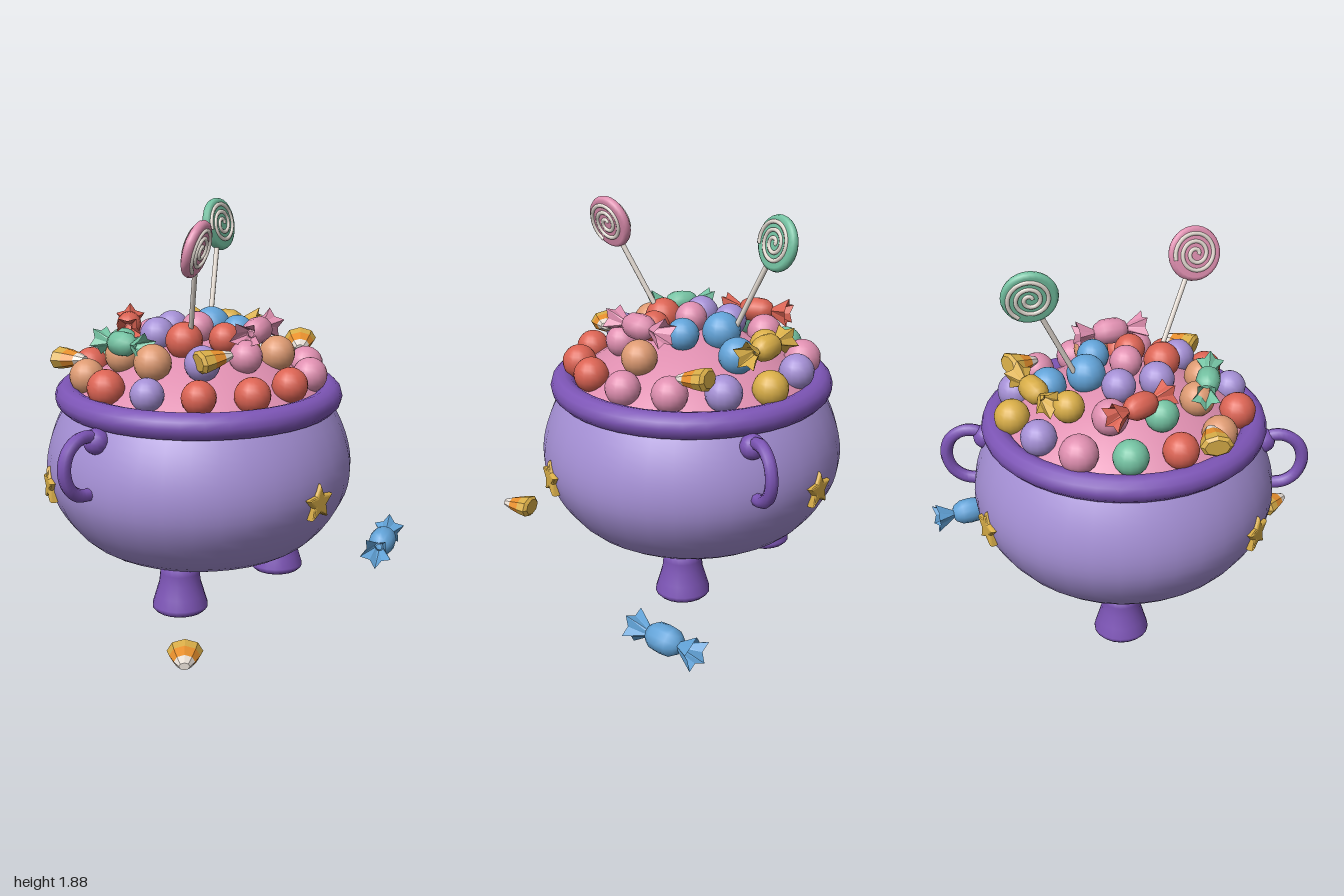
import * as THREE from 'three';

const mat = (name, color, side = THREE.FrontSide) => {
  const m = new THREE.MeshStandardMaterial({ color, side });
  m.name = name;
  return m;
};
const V = (x, y, z) => new THREE.Vector3(x, y, z);
const P = (list) => list.map(([x, y]) => new THREE.Vector2(x, y));

export function createModel() {
  const D = THREE.DoubleSide;
  const M = {
    lilac: mat('lilac', 0xa48fd4, D), purple: mat('purple', 0x7d55b6),
    pink: mat('pink', 0xdf8fb0, D), red: mat('red', 0xdb6353, D),
    tan: mat('tan', 0xdd9a72), blue: mat('blue', 0x62a3d8, D),
    green: mat('green', 0x74c2a2, D), gold: mat('gold', 0xd9ae48, D),
    white: mat('cream white', 0xeee5dc), orange: mat('orange', 0xe8902e),
  };
  const root = new THREE.Group();
  root.name = 'candyCauldron';

  const add = (parent, name, geo, material, x = 0, y = 0, z = 0) => {
    const m = new THREE.Mesh(geo, material);
    m.name = name;
    m.position.set(x, y, z);
    parent.add(m);
    return m;
  };
  const group = (parent, name) => {
    const g = new THREE.Group();
    g.name = name;
    parent.add(g);
    return g;
  };
  // Point local y along dir, with local z as near hint as possible
  const aim = (obj, pos, dir, hint) => {
    const y = dir.clone().normalize();
    const x = y.clone().cross(hint).normalize();
    obj.position.copy(pos);
    obj.quaternion.setFromRotationMatrix(new THREE.Matrix4().makeBasis(x, y, x.clone().cross(y)));
  };
  const faceted = (g) => {
    const f = g.toNonIndexed();
    f.computeVertexNormals();
    return f;
  };

  // Cauldron: everything around its own axis
  const pot = group(root, 'cauldron');
  pot.position.set(-0.067, 0, -0.01);
  const bodyCurve = new THREE.SplineCurve(P([[0, 0.17], [0.3, 0.175], [0.45, 0.2], [0.57, 0.26],
    [0.67, 0.37], [0.735, 0.49], [0.756, 0.6], [0.745, 0.71], [0.71, 0.82], [0.66, 0.92], [0.62, 0.98]]));
  add(pot, 'cauldronBody', new THREE.LatheGeometry(bodyCurve.getPoints(24), 36), M.lilac);
  const rim = new THREE.TorusGeometry(0.642, 0.065, 12, 40).rotateX(Math.PI / 2);
  add(pot, 'rim', rim, M.purple, 0, 0.97, 0);

  // Sweets bed filling the opening
  const bed = [];
  for (let i = 0; i <= 10; i++) {
    const r = 0.61 * (1 - i / 10);
    bed.push([r, 1.24 - 0.68 * r * r]);
  }
  add(pot, 'sweetsBed', new THREE.LatheGeometry(P(bed), 32), M.pink);

  // Three feet
  const footGeo = new THREE.LatheGeometry(P([[0, 0], [0.118, 0], [0.133, 0.015], [0.133, 0.03],
    [0.118, 0.08], [0.1, 0.14], [0.095, 0.19], [0.095, 0.24], [0, 0.26]]), 20);
  for (let i = 0; i < 3; i++) {
    const a = Math.PI / 3 + i * Math.PI * 2 / 3;
    add(pot, 'foot', footGeo, M.purple, Math.sin(a) * 0.42, 0, Math.cos(a) * 0.42);
  }

  // Side handles with a knob at the upper end
  const handleCurve = new THREE.CatmullRomCurve3([[0.69, 0.86], [0.73, 0.893], [0.8, 0.897], [0.87, 0.85],
    [0.896, 0.765], [0.87, 0.68], [0.81, 0.632], [0.72, 0.62]].map(([x, y]) => V(x, y, 0)));
  const handleGeo = new THREE.TubeGeometry(handleCurve, 24, 0.032, 8);
  for (const turn of [0, Math.PI]) {
    const h = group(pot, 'handle');
    h.rotation.y = turn;
    add(h, 'handleLoop', handleGeo, M.purple);
    add(h, 'handleKnob', new THREE.SphereGeometry(0.062, 14, 10), M.purple, 0.695, 0.865, 0);
  }

  // Three puffy stars around the belly
  const starShape = new THREE.Shape(P(Array.from({ length: 10 }, (_, i) => {
    const r = i % 2 ? 0.032 : 0.075, a = i * Math.PI / 5;
    return [Math.sin(a) * r, Math.cos(a) * r];
  })));
  const starGeo = new THREE.ExtrudeGeometry(starShape, {
    depth: 0.02, bevelEnabled: true, bevelSize: 0.014, bevelThickness: 0.014, bevelSegments: 3 });
  for (let i = 0; i < 3; i++) {
    const s = group(pot, 'star');
    s.rotation.y = i * Math.PI * 2 / 3;
    add(s, 'starBadge', starGeo, M.gold, 0, 0.565, 0.738);
  }

  // Round sweets: x, z, radius per colour, heaped over the bed
  const sweets = {
    red: [[-0.34, -0.49, 0.087], [-0.62, -0.09, 0.09], [-0.25, 0.065, 0.09], [-0.09, 0.18, 0.077],
      [-0.475, 0.365, 0.082], [-0.27, 0.51, 0.086], [-0.03, 0.535, 0.086]],
    green: [[-0.11, -0.56, 0.086], [-0.25, -0.35, 0.082]],
    pink: [[0.13, -0.53, 0.094], [-0.01, -0.385, 0.088], [-0.075, -0.01, 0.08], [0.21, 0.465, 0.086],
      [0.385, 0.3, 0.088], [-0.12, 0.34, 0.08]],
    lilac: [[0.325, -0.395, 0.088], [-0.045, -0.21, 0.083], [-0.225, -0.135, 0.086], [-0.595, 0.155, 0.08],
      [-0.33, 0.255, 0.085], [0.475, 0.065, 0.09]],
    tan: [[-0.525, -0.32, 0.086], [-0.42, -0.18, 0.086], [-0.45, 0.05, 0.09], [0.11, 0.34, 0.088]],
    blue: [[0.115, -0.09, 0.095], [0.3, -0.085, 0.09], [0.09, 0.105, 0.08]],
    gold: [[0.47, -0.18, 0.088], [0.19, -0.29, 0.078]],
  };
  const heap = group(root, 'roundSweets');
  for (const [color, list] of Object.entries(sweets)) {
    for (const [x, z, r] of list) {
      const d2 = (x + 0.067) ** 2 + (z + 0.01) ** 2;
      add(heap, 'sweet', new THREE.SphereGeometry(r, 16, 12), M[color], x, 1.295 - 0.7 * d2, z);
    }
  }

  // Wrapped candy: barrel body with a flared, crimped wrapper at each end
  const barrel = new THREE.LatheGeometry(P([[0.015, -0.1], [0.045, -0.085], [0.066, -0.05], [0.07, 0],
    [0.066, 0.05], [0.045, 0.085], [0.015, 0.1]]), 12);
  const flare = new THREE.CylinderGeometry(0.085, 0.018, 0.11, 10, 1, true).translate(0, 0.142, 0);
  const fp = flare.attributes.position;
  for (let i = 0; i <= 10; i += 1) {
    const k = i % 2 ? 0.62 : 1;
    fp.setXYZ(i, fp.getX(i) * k, fp.getY(i) - (i % 2 ? 0.012 : 0), fp.getZ(i) * k);
  }
  const flareGeo = faceted(flare);
  const wrapped = (color, pos, dir, scale) => {
    const g = group(root, 'wrappedCandy');
    aim(g, pos, dir, V(0, 1, 0));
    g.scale.setScalar(scale);
    add(g, 'candyBody', barrel, M[color]);
    add(g, 'wrapperEnd', flareGeo, M[color]);
    add(g, 'wrapperEnd', flareGeo, M[color]).rotation.x = Math.PI;
  };
  wrapped('blue', V(0.81, 0.075, 0.51), V(0.91, 0, -0.41), 1);
  wrapped('green', V(-0.47, 1.26, -0.13), V(-0.09, 0.03, 1), 0.85);
  wrapped('red', V(-0.15, 1.27, -0.41), V(0.7, 0, -0.66), 0.9);
  wrapped('pink', V(0.01, 1.31, 0.3), V(0.93, 0, -0.36), 0.93);
  wrapped('gold', V(0.36, 1.24, -0.21), V(0.5, 0, 0.85), 0.9);

  // Tricolour corn sweets, flattened, running from wide base to pale tip
  const bands = [['gold', 0.06, 0.08, -0.085, -0.07], ['gold', 0.08, 0.068, -0.07, -0.02],
    ['orange', 0.068, 0.046, -0.02, 0.04], ['white', 0.046, 0.024, 0.04, 0.085]];
  const corn = (pos, dir) => {
    const g = group(root, 'cornSweet');
    aim(g, pos, dir, V(0, 1, 0));
    g.scale.z = 0.7;
    for (const [color, r0, r1, y0, y1] of bands) {
      add(g, color + 'Band', faceted(new THREE.CylinderGeometry(r1, r0, y1 - y0, 8)), M[color], 0, (y0 + y1) / 2, 0);
    }
  };
  corn(V(-0.91, 0.06, 0.68), V(-0.74, 0, 0.67));
  corn(V(-0.49, 1.14, -0.47), V(0.15, 0.05, 0.9));
  corn(V(0.455, 1.17, 0.21), V(-0.7, -0.12, 0.55));
  corn(V(-0.34, 1.235, 0.34), V(0.85, 0.12, 0.35));

  // Lollipops: stick, rounded disc and a raised spiral on both faces
  const discGeo = new THREE.LatheGeometry(P([[0, -0.024], [0.115, -0.024], [0.13, -0.015], [0.135, 0],
    [0.13, 0.015], [0.115, 0.024], [0, 0.024]]), 28).rotateX(Math.PI / 2);
  const spiral = new THREE.CatmullRomCurve3(Array.from({ length: 45 }, (_, i) => {
    const t = i / 44, a = t * Math.PI * 5.2, r = 0.012 + 0.098 * t;
    return V(Math.cos(a) * r, Math.sin(a) * r, 0.024);
  }));
  const spiralGeo = new THREE.TubeGeometry(spiral, 100, 0.011, 6);
  const lollipop = (color, base, top, hint) => {
    const g = group(root, 'lollipop');
    const dir = top.clone().sub(base), len = dir.length();
    aim(g, top, dir, hint);
    add(g, 'stick', new THREE.CylinderGeometry(0.013, 0.013, len, 8), M.white, 0, -len / 2 - 0.03, 0);
    add(g, 'disc', discGeo, M[color]);
    add(g, 'spiral', spiralGeo, M.white);
    add(g, 'spiral', spiralGeo, M.white).rotation.y = Math.PI;
  };
  lollipop('pink', V(-0.23, 1.27, 0.085), V(-0.4, 1.74, 0.285), V(0.25, 0, 0.97));
  lollipop('green', V(0.155, 1.27, -0.135), V(0.36, 1.74, -0.26), V(0.1, 0, 1));

  return root;
}
